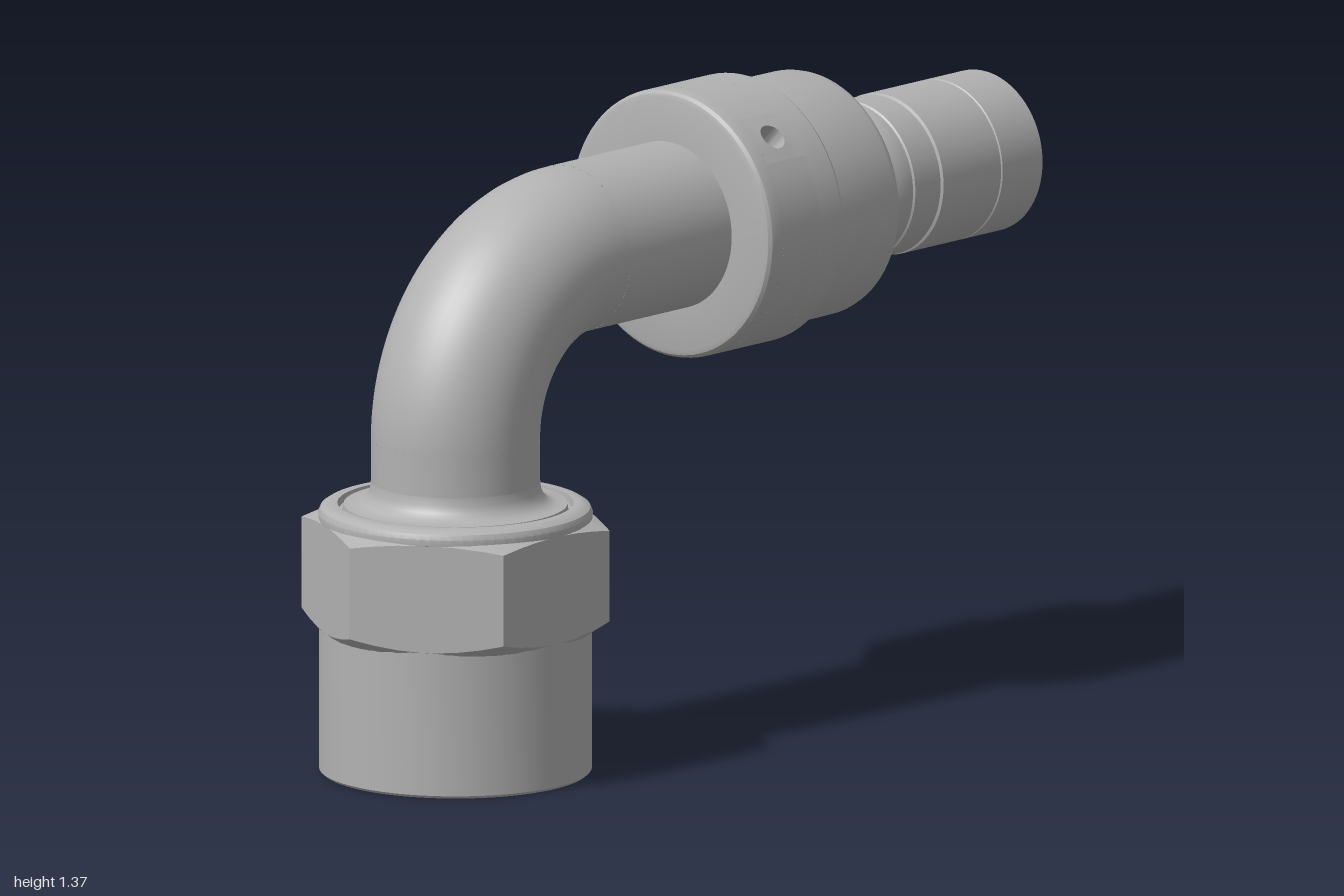
import * as THREE from 'three';
import { toCreasedNormals } from 'three/addons/utils/BufferGeometryUtils.js';

const CREASE = 0.5;
const AXIS_X = -0.665; // vertical axis of the nut
const AXIS_Y = 1.076; // horizontal axis of the stub
const BEND = 0.355;

export function createModel() {
  const group = new THREE.Group();
  const steel = new THREE.MeshStandardMaterial({ color: 0xb2b2b2, side: THREE.DoubleSide });
  steel.name = 'steel grey';

  function add(name, geometry) {
    const mesh = new THREE.Mesh(geometry, steel);
    mesh.name = name;
    group.add(mesh);
    return mesh;
  }

  // Turned part from [radius, position along axis] points
  function turned(points, start = 0, length = Math.PI * 2) {
    const profile = points.map(([r, h]) => new THREE.Vector2(r, h));
    return toCreasedNormals(new THREE.LatheGeometry(profile, 80, start, length), CREASE);
  }
  const upright = (name, points) => add(name, turned(points).translate(AXIS_X, 0, 0));
  const level = (name, points, start, length) =>
    add(name, turned(points, start, length).rotateZ(-Math.PI / 2).translate(0, AXIS_Y, 0));

  // Surface through rows of points, optionally leaving cells open
  function surface(rows, open = () => false) {
    const positions = [];
    for (let j = 0; j < rows.length - 1; j++) {
      for (let i = 0; i < rows[j].length - 1; i++) {
        if (open(j, i)) continue;
        const a = rows[j][i], b = rows[j][i + 1], c = rows[j + 1][i + 1], d = rows[j + 1][i];
        for (const p of [a, b, c, a, c, d]) positions.push(p.x, p.y, p.z);
      }
    }
    const geometry = new THREE.BufferGeometry();
    geometry.setAttribute('position', new THREE.Float32BufferAttribute(positions, 3));
    geometry.computeVertexNormals();
    return toCreasedNormals(geometry, CREASE);
  }

  // Square patch with a blind round hole; place(u, v, depth) lays it on a surface
  function holePatch(name, half, radius, depth, place) {
    const rows = [[], [], [], []];
    for (let k = 0; k <= 32; k++) {
      const c = Math.cos((k * Math.PI) / 16), s = Math.sin((k * Math.PI) / 16);
      const m = half / Math.max(Math.abs(c), Math.abs(s));
      rows[0].push(place(c * m, s * m, 0));
      rows[1].push(place(c * radius, s * radius, 0));
      rows[2].push(place(c * radius, s * radius, depth));
      rows[3].push(place(0, 0, depth));
    }
    add(name, surface(rows));
  }

  // Sleeve under the hex, with an open bore and conical seat
  upright('nutSleeve', [
    [0.085, 0.5], [0.25, 0.36], [0.25, 0.025], [0.265, 0], [0.284, 0], [0.29, 0.006], [0.29, 0.33],
  ]);

  // Chamfered hex with corners on the x axis
  const flat = 0.29;
  const stops = [-0.1674, -0.15, -0.115, -0.065, -0.015, 0.015, 0.065, 0.115, 0.15];
  const hexRows = [[], [], [], [], [], []];
  for (let n = 0; n <= 6 * stops.length; n++) {
    const a = (Math.floor(n / stops.length) * Math.PI) / 3;
    const s = stops[n % stops.length];
    const x = Math.sin(a) * flat + Math.cos(a) * s;
    const z = Math.cos(a) * flat - Math.sin(a) * s;
    const r = Math.hypot(x, z);
    const rise = r - flat;
    const ring = (y, scale = 1) => new THREE.Vector3(AXIS_X + x * scale, y, z * scale);
    hexRows[0].push(ring(0.305, 0.284 / r));
    hexRows[1].push(ring(0.316 + rise * 0.5));
    hexRows[2].push(ring(0.39));
    hexRows[3].push(ring(0.49));
    hexRows[4].push(ring(0.549 - rise * 0.3));
    hexRows[5].push(ring(0.555, 0.28 / r));
  }
  const backStart = 3 * stops.length;
  add('hexNut', surface(hexRows, (j, i) => j === 2 && (i === backStart + 5 || i === backStart + 6)));
  holePatch('nutHole', 0.05, 0.03, 0.035,
    (u, v, d) => new THREE.Vector3(AXIS_X - 0.065 - u, 0.44 + v, -flat + d));

  // Rounded shoulder, groove and flare into the pipe
  upright('nutShoulder', [
    [0.28, 0.54], [0.291, 0.548], [0.292, 0.562], [0.287, 0.573], [0.276, 0.58], [0.265, 0.582],
    [0.251, 0.582], [0.249, 0.565], [0.24, 0.565], [0.238, 0.58], [0.215, 0.581],
    [0.2, 0.586], [0.188, 0.598], [0.182, 0.612], [0.18, 0.63],
  ]);

  // Elbow: outer pipe and inner bore
  const bendY = AXIS_Y - BEND, bendX = AXIS_X + BEND;
  for (const [label, r, bottom, end] of [['Pipe', 0.18, 0.6, 0.05], ['Bore', 0.085, 0.5, 0.22]]) {
    const bend = new THREE.TorusGeometry(BEND, r, 48, 48, Math.PI / 2);
    add('elbow' + label, bend.rotateZ(Math.PI / 2).translate(bendX, bendY, 0));
    upright('vertical' + label, [[r, bottom], [r, bendY]]);
    level('horizontal' + label, [[r, bendX], [r, end]]);
  }

  // Collar: three bands, the middle one open around a drilled hole
  const collarR = 0.29, half = 0.058, holeX = 0.112;
  const gap = half / collarR;
  level('collarBack', [
    [0.17, 0.01], [0.272, 0.01], [0.282, 0.013], [0.288, 0.02], [collarR, 0.03], [collarR, holeX - half],
  ]);
  level('collarBand', [[collarR, holeX - half], [collarR, holeX + half]],
    -Math.PI / 4 + gap, Math.PI * 2 - 2 * gap);
  holePatch('collarHole', half, 0.03, 0.05, (u, v, d) => {
    const a = Math.PI / 4 + v / collarR, r = collarR - d;
    return new THREE.Vector3(holeX + u, AXIS_Y + r * Math.sin(a), r * Math.cos(a));
  });
  level('collarFront', [
    [collarR, holeX + half], [collarR, 0.238], [0.286, 0.245], [0.27, 0.247], [0.266, 0.252],
    [0.265, 0.435], [0.262, 0.447], [0.255, 0.455], [0.243, 0.459], [0.23, 0.46], [0.16, 0.46],
  ]);

  // Grooved stub with an open shell around the inner tube
  level('hoseStub', [
    [0.195, 0.459], [0.182, 0.464], [0.172, 0.476], [0.167, 0.495], [0.167, 0.535], [0.174, 0.55],
    [0.174, 0.585], [0.168, 0.588], [0.168, 0.597], [0.172, 0.6], [0.172, 0.676],
    [0.168, 0.678], [0.168, 0.684], [0.174, 0.687], [0.174, 0.866], [0.171, 0.868],
    [0.171, 0.872], [0.174, 0.874], [0.174, 1], [0.164, 1], [0.164, 0.75], [0.11, 0.75],
    [0.11, 0.958], [0.107, 0.966], [0.1, 0.97], [0.094, 0.97], [0.088, 0.966], [0.085, 0.958], [0.085, 0.22],
  ]);

  return group;
}
